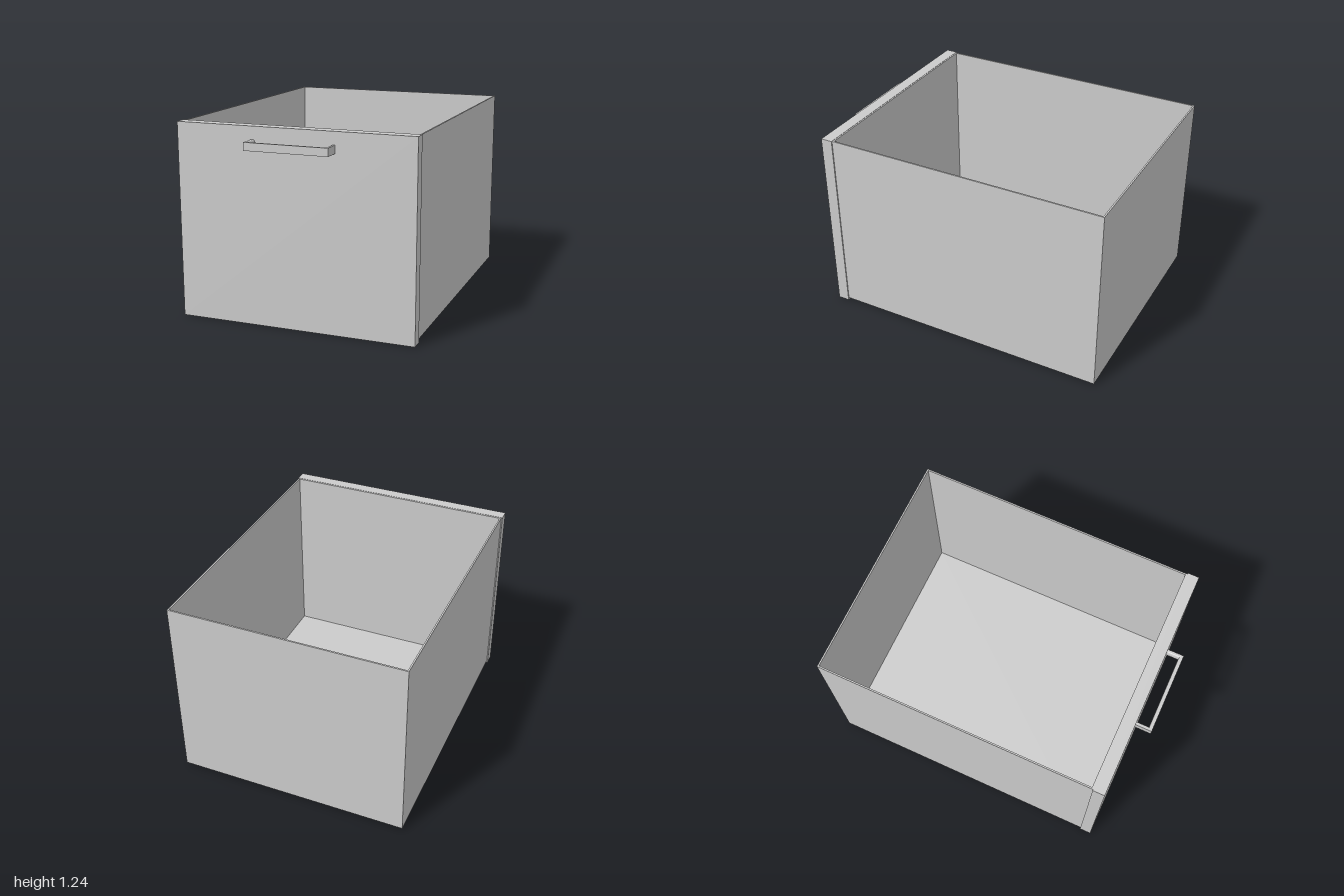
import * as THREE from 'three';

export function createModel() {
  const group = new THREE.Group();
  const material = new THREE.MeshStandardMaterial({ color: 0xcccccc });

  // Box given by its lower and upper corner
  const addBox = (name, [x0, y0, z0], [x1, y1, z1]) => {
    const mesh = new THREE.Mesh(new THREE.BoxGeometry(x1 - x0, y1 - y0, z1 - z0), material);
    mesh.position.set((x0 + x1) / 2, (y0 + y1) / 2, (z0 + z1) / 2);
    mesh.name = name;
    group.add(mesh);
  };

  // Open thin-walled drawer body
  const X = 0.755, T = 0.01, BOTTOM = 0.015, TOP = 1.233, BACK = -1, FRONT = 0.82;
  addBox('drawerBottom', [-X, BOTTOM, BACK], [X, BOTTOM + T, FRONT]);
  addBox('leftWall', [X - T, BOTTOM + T, BACK], [X, TOP, FRONT]);
  addBox('rightWall', [-X, BOTTOM + T, BACK], [-X + T, TOP, FRONT]);
  addBox('backWall', [-X + T, BOTTOM + T, BACK], [X - T, TOP, BACK + T]);
  addBox('innerFrontWall', [-X + T, BOTTOM + T, FRONT - T], [X - T, TOP, FRONT]);

  // Thick front panel, slightly wider and lower than the body
  addBox('frontPanel', [-0.762, 0, FRONT], [0.762, 1.235, 0.896]);

  // Pull handle: flat outside, rounded inside, swept along a mitred U
  const H = 0.025, section = [[0, -H]];
  for (let i = 0; i <= 8; i++) {
    const a = -Math.PI / 2 + (i / 8) * Math.PI;
    section.push([0.014 + 0.011 * Math.cos(a), H * Math.sin(a)]);
  }
  section.push([0, H]);
  const W = 0.266, ROOT = 0.89, TIP = 1;
  const rings = section.map(([d, y]) => [
    [-W + d, y, ROOT], [-W + d, y, TIP - d], [W - d, y, TIP - d], [W - d, y, ROOT],
  ]);
  const positions = [];
  for (let i = 0; i < rings.length; i++) {
    const p = rings[i], q = rings[(i + 1) % rings.length];
    for (let k = 0; k < 3; k++) {
      positions.push(...p[k], ...q[k + 1], ...p[k + 1], ...p[k], ...q[k], ...q[k + 1]);
    }
  }
  const handleGeometry = new THREE.BufferGeometry();
  handleGeometry.setAttribute('position', new THREE.Float32BufferAttribute(positions, 3));
  handleGeometry.computeVertexNormals();
  const handle = new THREE.Mesh(handleGeometry, material);
  handle.position.y = 1.13;
  handle.name = 'handle';
  group.add(handle);

  return group;
}
